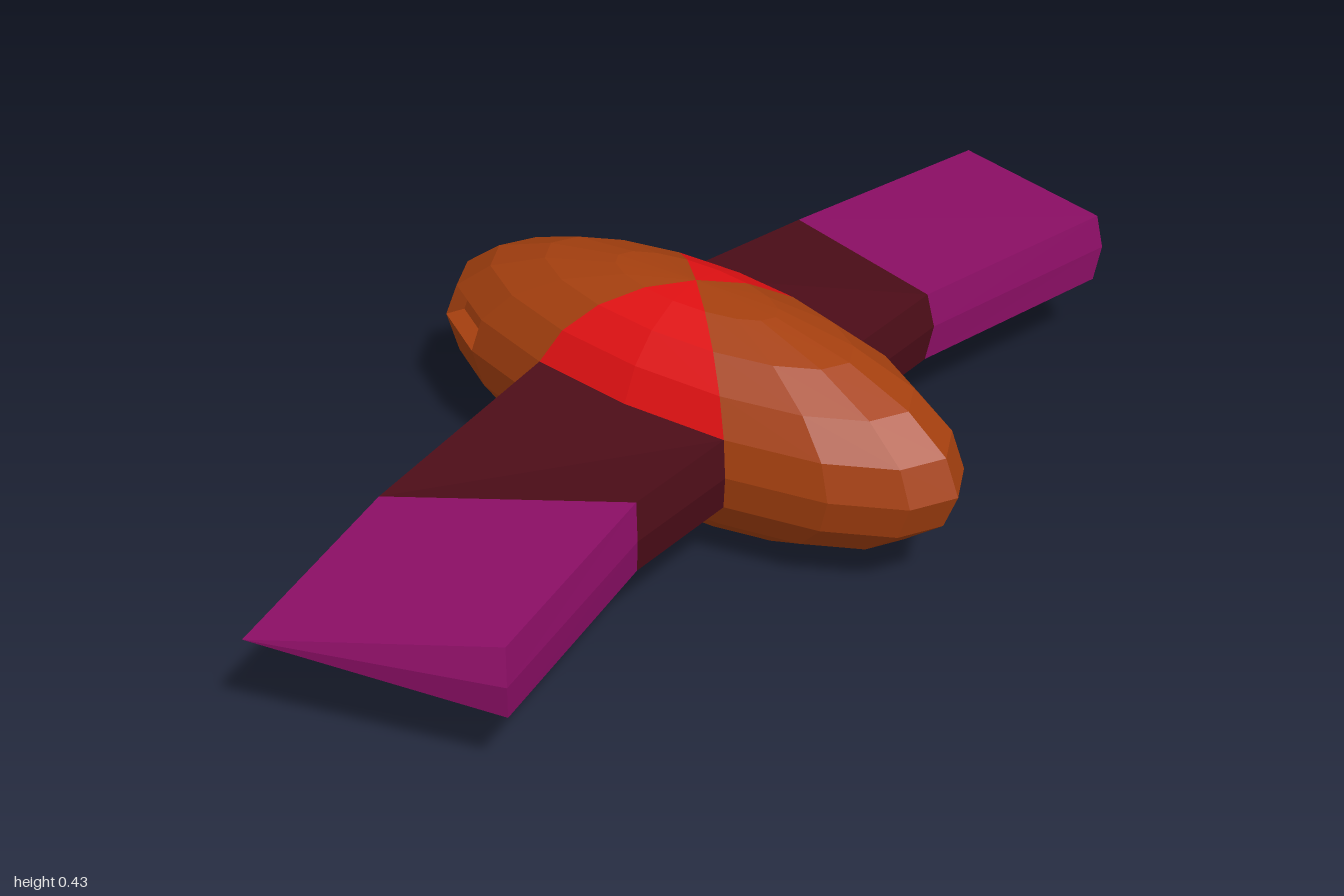
import * as THREE from 'three';

const SEGMENTS = 16, BANDS = 10, MID = 0.22;
const RADIUS = new THREE.Vector3(0.205, 0.217, 0.545);
const V = (x, y, z) => new THREE.Vector3(x, y, z);

// Collects polygons as triangle fans; flip reverses winding for mirrored parts
class Shell {
  constructor() { this.positions = []; }
  face(points, flip = false) {
    const p = flip ? [...points].reverse() : points;
    for (let i = 1; i < p.length - 1; i++) {
      for (const v of [p[0], p[i], p[i + 1]]) this.positions.push(v.x, v.y, v.z);
    }
  }
  mesh(name, color) {
    const geometry = new THREE.BufferGeometry();
    geometry.setAttribute('position', new THREE.Float32BufferAttribute(this.positions, 3));
    geometry.computeVertexNormals();
    const mesh = new THREE.Mesh(geometry, new THREE.MeshStandardMaterial({ color, flatShading: true }));
    mesh.name = name;
    return mesh;
  }
}

// Point on the stretched ball: i runs around the vertical axis, j from top to bottom
function hullPoint(i, j) {
  const phi = (i / SEGMENTS) * Math.PI * 2, theta = (j / BANDS) * Math.PI;
  return V(
    RADIUS.x * Math.sin(theta) * Math.sin(phi),
    MID + RADIUS.y * Math.cos(theta),
    RADIUS.z * Math.sin(theta) * Math.cos(phi)
  );
}

// Recessed panel: an inset floor pushed inwards with four walls
function addRecess(shell, corners) {
  const center = corners.reduce((sum, p) => sum.add(p), V(0, 0, 0)).multiplyScalar(0.25);
  const push = V(-Math.sign(center.x) * 0.03, 0, 0.005);
  const floor = corners.map((p) => {
    const q = p.clone().lerp(center, 0.28).add(push);
    return q;
  });
  corners.forEach((p, k) => {
    const n = (k + 1) % 4;
    shell.face([p, corners[n], floor[n], floor[k]]);
  });
  shell.face(floor);
}

function createBody() {
  const hull = new Shell(), panels = new Shell();
  for (let i = 0; i < SEGMENTS; i++) {
    const side = [3, 4, 11, 12].includes(i);
    for (let j = 0; j < BANDS; j++) {
      if (side && (j === 4 || j === 5)) continue; // wing roots
      let corners = [hullPoint(i, j), hullPoint(i, j + 1), hullPoint(i + 1, j + 1), hullPoint(i + 1, j)];
      if (j === 4 && (i === 6 || i === 9)) {
        addRecess(hull, corners);
        continue;
      }
      if (j === 0) corners = corners.slice(0, 3);
      if (j === BANDS - 1) corners = [corners[0], corners[1], corners[3]];
      (side && j < 4 ? panels : hull).face(corners);
    }
  }
  const body = new THREE.Group();
  body.name = 'body';
  body.add(hull.mesh('hull', 0xa6400f), panels.mesh('sidePanels', 0xe01012));
  return body;
}

// Skin between two six-point rings, folded so the ridge stays convex
function loft(shell, from, to, flip) {
  for (let k = 0; k < 6; k++) {
    const n = (k + 1) % 6;
    const quad = [from[k], from[n], to[n], to[k]];
    shell.face(k < 3 ? [quad[1], quad[2], quad[3], quad[0]] : quad, flip);
  }
}

function createWing(side) {
  // Ring order: top front, middle front, bottom front, bottom back, middle back, top back
  const top = hullPoint(3, 4).y, bottom = hullPoint(3, 6).y;
  const root = [
    hullPoint(3, 4), hullPoint(3, 5), hullPoint(3, 6),
    hullPoint(5, 6), hullPoint(5, 5), hullPoint(5, 4)
  ];
  // Thick leading edge, trailing edge pinched to a single point
  const wedge = (x, z, bulgeX, bulgeZ, backX, backZ) => {
    const back = V(backX, MID, backZ);
    return [V(x, top, z), V(x + bulgeX, MID, z + bulgeZ), V(x, bottom, z), back, back, back];
  };
  const joint = wedge(0.41, 0.198, 0.01, 0.01, 0.58, -0.208);
  const tip = wedge(0.832, 0.284, 0.01, 0.009, 1, -0.11);
  const [a, b, c] = [root, joint, tip].map((ring) => ring.map((p) => V(p.x * side, p.y, p.z)));

  const inner = new Shell(), outer = new Shell(), flip = side < 0;
  loft(inner, a, b, flip);
  loft(outer, b, c, flip);
  outer.face(c.slice(0, 4), flip);

  const wing = new THREE.Group();
  wing.name = side > 0 ? 'leftWing' : 'rightWing';
  wing.add(inner.mesh('innerWing', 0x4d0d18), outer.mesh('outerWing', 0x8f0f68));
  return wing;
}

export function createModel() {
  const model = new THREE.Group();
  model.name = 'flyer';
  model.add(createBody(), createWing(1), createWing(-1));
  model.position.y = RADIUS.y - MID; // rest the hull on the ground
  return model;
}
